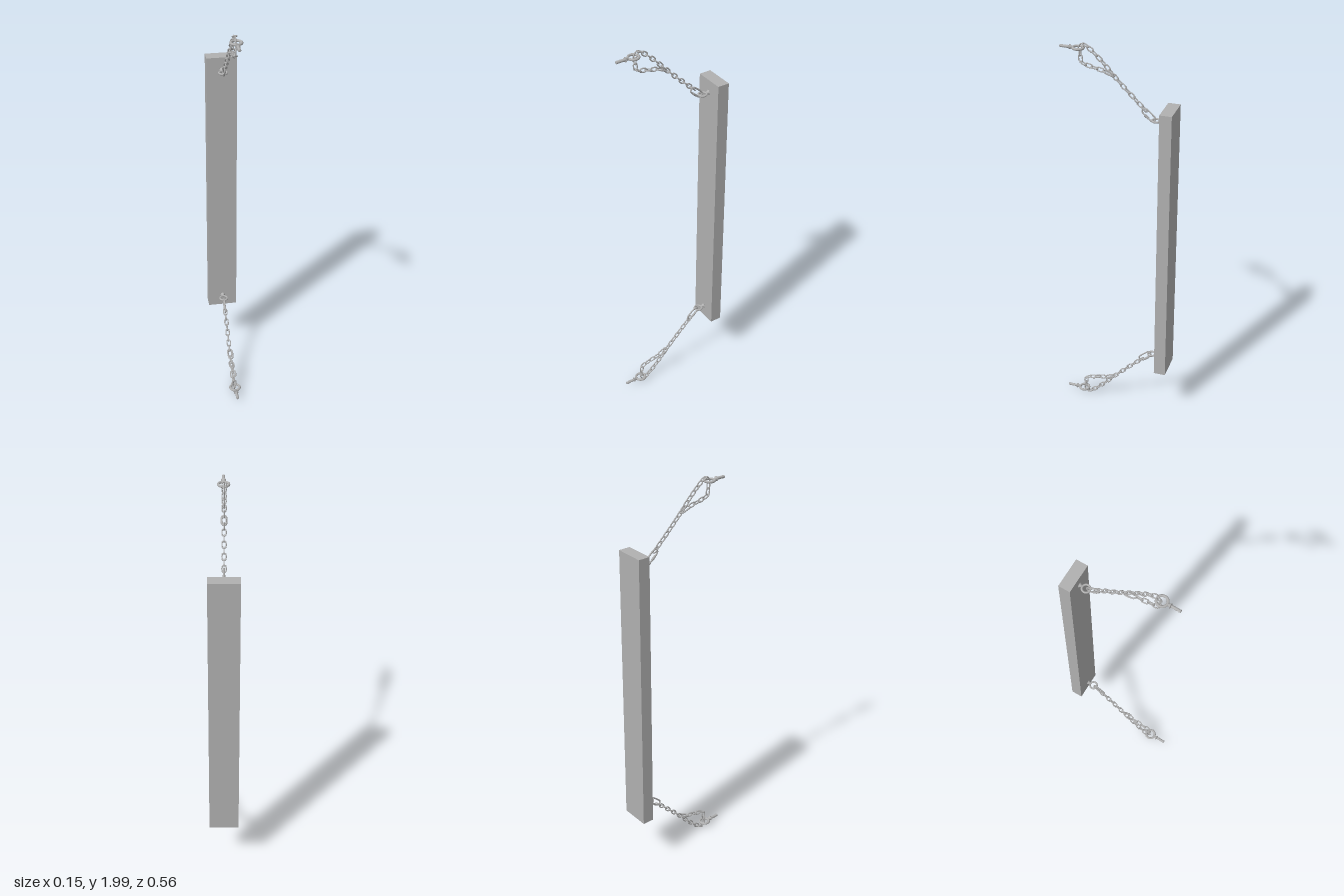
import * as THREE from 'three';

const steel = new THREE.MeshStandardMaterial({ color: 0xb0b0b0 });
steel.name = 'grey steel';

// Stadium-shaped wire link lying along X, wide along Y
function linkGeometry(length, width, wire) {
  const r = width / 2 - wire, h = length / 2 - wire - r;
  const path = new THREE.CurvePath();
  const pts = [];
  for (const side of [1, -1]) {
    for (let i = 0; i <= 6; i++) {
      const a = -Math.PI / 2 + (i / 6) * Math.PI;
      pts.push(new THREE.Vector3(side * (h + r * Math.cos(a)), side * r * Math.sin(a), 0));
    }
  }
  pts.forEach((p, i) => path.add(new THREE.LineCurve3(p, pts[(i + 1) % pts.length])));
  const curve = new THREE.CatmullRomCurve3(pts, true, 'centripetal');
  return new THREE.TubeGeometry(curve, 32, wire, 8, true);
}

// Turn an object so its X follows dir (in the YZ plane); flat puts its width along world x
function orient(obj, pos, dir, flat) {
  const x = dir.clone().normalize();
  const across = new THREE.Vector3(1, 0, 0);
  const y = flat ? across : new THREE.Vector3().crossVectors(across, x);
  const z = new THREE.Vector3().crossVectors(x, y);
  obj.quaternion.setFromRotationMatrix(new THREE.Matrix4().makeBasis(x, y, z));
  obj.position.copy(pos);
  return obj;
}

function mesh(name, geometry) {
  const m = new THREE.Mesh(geometry, steel);
  m.name = name;
  return m;
}

// Ring in the XZ plane with a flared collar and an optional threaded shank towards +z
function eyeBolt(name, ring, tube, collarEnd, shankEnd) {
  const g = new THREE.Group();
  g.name = name;
  const eye = mesh('eyeRing', new THREE.TorusGeometry(ring, tube, 12, 40));
  eye.rotation.x = Math.PI / 2;
  g.add(eye);
  const start = ring + tube * 0.3;
  const profile = [[0, start], [0.006, start], [0.007, collarEnd - 0.008],
    [0.012, collarEnd - 0.002], [0.012, collarEnd], [0, collarEnd]];
  const collar = mesh('collar', new THREE.LatheGeometry(profile.map(p => new THREE.Vector2(...p)), 20));
  collar.rotation.x = Math.PI / 2;
  g.add(collar);
  if (shankEnd) {
    const pts = [new THREE.Vector2(0, collarEnd)];
    const turns = 9, step = (shankEnd - collarEnd) / turns;
    for (let i = 0; i < turns; i++) {
      pts.push(new THREE.Vector2(0.0055, collarEnd + i * step));
      pts.push(new THREE.Vector2(0.0075, collarEnd + (i + 0.5) * step));
    }
    pts.push(new THREE.Vector2(0.0055, shankEnd), new THREE.Vector2(0, shankEnd));
    const shank = mesh('threadedShank', new THREE.LatheGeometry(pts, 16));
    shank.rotation.x = Math.PI / 2;
    g.add(shank);
  }
  return g;
}

// Larger connector link with a screw sleeve on one side
function quickLink(name, length, width, wire) {
  const g = new THREE.Group();
  g.name = name;
  g.add(mesh('connectorLoop', linkGeometry(length, width, wire)));
  const sleeve = mesh('screwSleeve', new THREE.CylinderGeometry(wire * 1.5, wire * 1.5, length * 0.3, 6));
  sleeve.rotation.z = Math.PI / 2;
  sleeve.position.y = width / 2 - wire;
  g.add(sleeve);
  return g;
}

export function createModel() {
  const model = new THREE.Group();
  model.name = 'chainedBoard';

  const board = mesh('board', new THREE.BoxGeometry(0.148, 1.446, 0.059));
  board.position.set(0, 1, -0.2495);
  model.add(board);

  const chainLink = linkGeometry(0.04, 0.024, 0.0032);

  for (const s of [1, -1]) {
    const at = (z, y) => new THREE.Vector3(0, 1 + s * (y - 1), z);
    const end = new THREE.Group();
    end.name = s > 0 ? 'upperChain' : 'lowerChain';

    // Anchor bolts
    const anchor = eyeBolt('anchorBolt', 0.0245, 0.006, 0.042, 0.089);
    anchor.position.copy(at(0.188, 1.968)).setX(0.002);
    const boardEye = eyeBolt('boardEye', 0.0192, 0.0048, 0.035, 0);
    boardEye.position.copy(at(-0.185, 1.66));
    boardEye.rotation.y = Math.PI;
    end.add(anchor, boardEye);

    // Connector on the board eye
    const a = at(-0.179, 1.657), b = at(-0.12, 1.709);
    end.add(orient(quickLink('boardConnector', 0.083, 0.036, 0.004),
      a.clone().lerp(b, 0.5), b.clone().sub(a), false));

    // Chain rises, passes through the anchor eye and doubles back
    const path = new THREE.CatmullRomCurve3([
      [-0.138, 1.7], [-0.06, 1.775], [0.01, 1.845], [0.075, 1.915], [0.13, 1.966],
      [0.16, 1.985], [0.176, 1.972], [0.179, 1.93], [0.172, 1.9], [0.13, 1.885], [0.07, 1.872],
    ].map(p => at(...p)), false, 'centripetal');
    const count = Math.round(path.getLength() / 0.0285);
    for (let i = 0; i < count; i++) {
      const u = (i + 0.5) / count;
      end.add(orient(mesh('chainLink', chainLink), path.getPointAt(u), path.getTangentAt(u), i % 2 === 0));
    }

    // Connector closing the loop back onto the chain
    const c = at(0.012, 1.85), d = at(0.072, 1.873);
    end.add(orient(quickLink('loopConnector', 0.064, 0.03, 0.0038),
      c.clone().lerp(d, 0.5), d.clone().sub(c), true));
    model.add(end);
  }
  return model;
}
